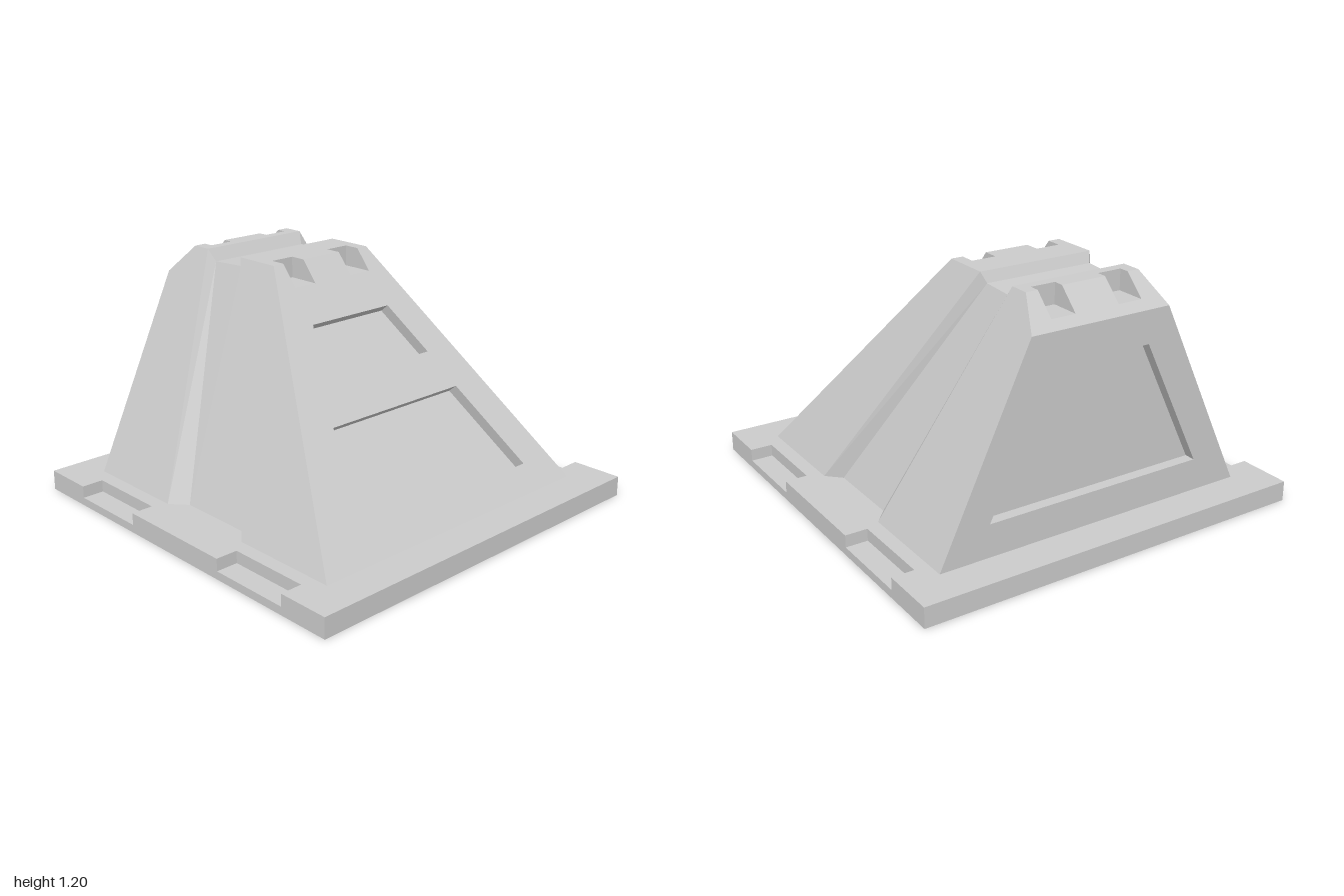
import * as THREE from 'three';

const V = (p) => new THREE.Vector3(...p);

// Flat polygon (with optional holes) whose front looks along "facing"
function planar(out, points, facing, holes = []) {
  const ring = points.map(V);
  const n = new THREE.Vector3();
  ring.forEach((p, i) => n.add(p.clone().cross(ring[(i + 1) % ring.length])));
  n.normalize();
  if (n.dot(V(facing)) < 0) { n.negate(); ring.reverse(); }
  const u = ring[1].clone().sub(ring[0]);
  u.addScaledVector(n, -u.dot(n)).normalize();
  const v = n.clone().cross(u);
  const flat = (r) => r.map((p) => new THREE.Vector2(p.dot(u), p.dot(v)));
  const holeRings = holes.map((h) => h.map(V));
  const all = [ring, ...holeRings].flat();
  for (const [a, b, c] of THREE.ShapeUtils.triangulateShape(flat(ring), holeRings.map(flat))) {
    const t = all[b].clone().sub(all[a]).cross(all[c].clone().sub(all[a]));
    const order = t.dot(n) < 0 ? [a, c, b] : [a, b, c];
    order.forEach((i) => out.push(...all[i].toArray()));
  }
}

// Sunken panel: floor pushed in against the normal, with walls around it
function recess(out, points, normal, depth) {
  const n = V(normal).normalize();
  const low = points.map((p) => V(p).addScaledVector(n, -depth).toArray());
  planar(out, low, normal);
  const centre = points.reduce((s, p) => s.add(V(p)), new THREE.Vector3()).divideScalar(points.length);
  points.forEach((p, i) => {
    const j = (i + 1) % points.length;
    const inward = centre.clone().sub(V(p).add(V(points[j])).multiplyScalar(0.5));
    planar(out, [p, points[j], low[j], low[i]], inward.toArray());
  });
}

function createModel() {
  const group = new THREE.Group();
  const material = new THREE.MeshStandardMaterial({ color: 0xcccccc, flatShading: true, side: THREE.DoubleSide });
  const part = (name, build) => {
    const out = [];
    build(out);
    const geometry = new THREE.BufferGeometry();
    geometry.setAttribute('position', new THREE.Float32BufferAttribute(out, 3));
    geometry.computeVertexNormals();
    const mesh = new THREE.Mesh(geometry, material);
    mesh.name = name;
    group.add(mesh);
  };

  const yBase = 0.1, yTop = 1.2, depth = 0.055;
  const nx0 = 0.115, nx1 = 0.24, yNotch = 1.1; // top notches
  const front = (x, y) => [x, y, 0.82 - 0.91 * (y - yBase) / (yTop - yBase)];
  const back = (x, y) => [x, y, -0.82];
  const chamfer = (x, y) => [x, y, -0.68 - (yTop - y)];
  const trapezoid = (at, w0, y0, w1, y1) => [at(-w0, y0), at(w0, y0), at(w1, y1), at(-w1, y1)];
  // Edge from +x to -x that steps to "inner" at the two notches
  const notchedEdge = (at, outer, inner) => [
    [0.3, outer], [nx1, outer], [nx1, inner], [nx0, inner], [nx0, outer],
    [-nx0, outer], [-nx0, inner], [-nx1, inner], [-nx1, outer], [-0.3, outer],
  ].map(([x, t]) => at(x, t));

  // Sloping front with two sunken panels
  part('frontFace', (out) => {
    const normal = [0, 0.91, 1.1];
    const panels = [trapezoid(front, 0.58, 0.21, 0.41, 0.575), trapezoid(front, 0.345, 0.735, 0.245, 0.95)];
    planar(out, [front(-0.82, yBase), front(0.82, yBase), ...notchedEdge(front, yTop, yNotch)], normal, panels);
    panels.forEach((p) => recess(out, p, normal, depth));
  });

  // Upright back with one sunken panel, chamfered above
  part('backFace', (out) => {
    const panel = trapezoid(back, 0.57, 0.26, 0.26, 0.9);
    planar(out, trapezoid(back, 0.82, yBase, 0.366, 1.06), [0, 0, -1], [panel]);
    recess(out, panel, [0, 0, -1], depth);
    planar(out, [chamfer(-0.366, 1.06), chamfer(0.366, 1.06), ...notchedEdge(chamfer, yTop, yNotch)], [0, 1, -1]);
  });

  // Two flat tops either side of the groove
  part('topFaces', (out) => {
    const top = (x, z) => [x, yTop, z];
    planar(out, [top(-0.3, -0.33), top(0.3, -0.33), ...notchedEdge(top, -0.09, -0.17)], [0, 1, 0]);
    planar(out, [top(-0.3, -0.58), top(0.3, -0.58), ...notchedEdge(top, -0.68, -0.63)], [0, 1, 0]);
  });

  // Insides of the four top notches
  part('topNotches', (out) => {
    for (const s of [-1, 1]) {
      for (const [at, zIn, dir] of [[front, -0.17, 1], [chamfer, -0.63, -1]]) {
        const a = s * nx0, b = s * nx1;
        planar(out, [at(a, yNotch), at(b, yNotch), [b, yNotch, zIn], [a, yNotch, zIn]], [0, 1, 0]);
        planar(out, [[a, yNotch, zIn], [b, yNotch, zIn], [b, yTop, zIn], [a, yTop, zIn]], [0, 0, dir]);
        for (const [x, d] of [[a, s], [b, -s]]) {
          planar(out, [at(x, yNotch), at(x, yTop), [x, yTop, zIn], [x, yNotch, zIn]], [d, 0, 0]);
        }
      }
    }
  });

  // Groove running up one side, over the top and down the other
  const rim = { f0: [0.82, yBase, 0.27], f1: [0.3, yTop, -0.33], b0: [0.82, yBase, -0.28], b1: [0.3, yTop, -0.58] };
  const bed = { f0: [0.75, yBase, 0.2], f1: [0.28, 1.15, -0.355], b0: [0.75, yBase, -0.2], b1: [0.28, 1.14, -0.545] };
  const flip = (p, s) => [p[0] * s, p[1], p[2]];
  for (const s of [-1, 1]) {
    const name = s > 0 ? 'left' : 'right';
    const quad = (out, pts, facing) => planar(out, pts.map((p) => flip(p, s)), flip(facing, s));
    part(name + 'Flanks', (out) => {
      quad(out, [front(0.82, yBase), rim.f0, rim.f1, front(0.3, yTop)], [1, 0.5, 0]);
      quad(out, [rim.b0, back(0.82, yBase), back(0.366, 1.06), chamfer(0.3, yTop), rim.b1], [1, 0.5, 0]);
    });
    part(name + 'Groove', (out) => {
      quad(out, [rim.f0, bed.f0, bed.f1, rim.f1], [1, 0, -1]);
      quad(out, [bed.f0, bed.b0, bed.b1, bed.f1], [1, 0.5, 0]);
      quad(out, [bed.b0, rim.b0, rim.b1, bed.b1], [1, 0, 1]);
    });
  }
  part('topGroove', (out) => {
    const across = (p, q, facing) => planar(out, [p, q, flip(q, -1), flip(p, -1)], facing);
    across(rim.f1, bed.f1, [0, 0.5, -1]);
    across(bed.f1, bed.b1, [0, 1, 0]);
    across(bed.b1, rim.b1, [0, 0.5, 1]);
  });

  // Base plate, open underneath, with two notches on each side
  part('basePlate', (out) => {
    const slots = [[-0.73, -0.31], [0.32, 0.74]], xIn = 0.89, yLow = 0.04;
    const mirrored = (half) => [...half, ...half.map((p) => flip(p, -1)).reverse()];
    const outline = [[1, yBase, -1]];
    const wall = [[1, yBase, -1]];
    for (const [z0, z1] of slots) {
      outline.push([1, yBase, z0], [xIn, yBase, z0], [xIn, yBase, z1], [1, yBase, z1]);
      wall.push([1, yBase, z0], [1, yLow, z0], [1, yLow, z1], [1, yBase, z1]);
    }
    outline.push([1, yBase, 1]);
    wall.push([1, yBase, 1], [1, 0, 1], [1, 0, -1]);
    const footprint = [back(0.82, yBase), rim.b0, bed.b0, bed.f0, rim.f0, front(0.82, yBase)];
    planar(out, mirrored(outline), [0, 1, 0], [mirrored(footprint)]);
    for (const s of [-1, 1]) {
      planar(out, [[-1, 0, s], [1, 0, s], [1, yBase, s], [-1, yBase, s]], [0, 0, s]);
      planar(out, wall.map((p) => flip(p, s)), [s, 0, 0]);
      for (const [z0, z1] of slots) {
        const a = s * xIn;
        planar(out, [[a, yLow, z0], [s, yLow, z0], [s, yLow, z1], [a, yLow, z1]], [0, 1, 0]);
        planar(out, [[a, yLow, z0], [a, yBase, z0], [a, yBase, z1], [a, yLow, z1]], [s, 0, 0]);
        for (const [z, d] of [[z0, 1], [z1, -1]]) {
          planar(out, [[a, yLow, z], [s, yLow, z], [s, yBase, z], [a, yBase, z]], [0, 0, d]);
        }
      }
    }
  });

  return group;
}

export { createModel };
